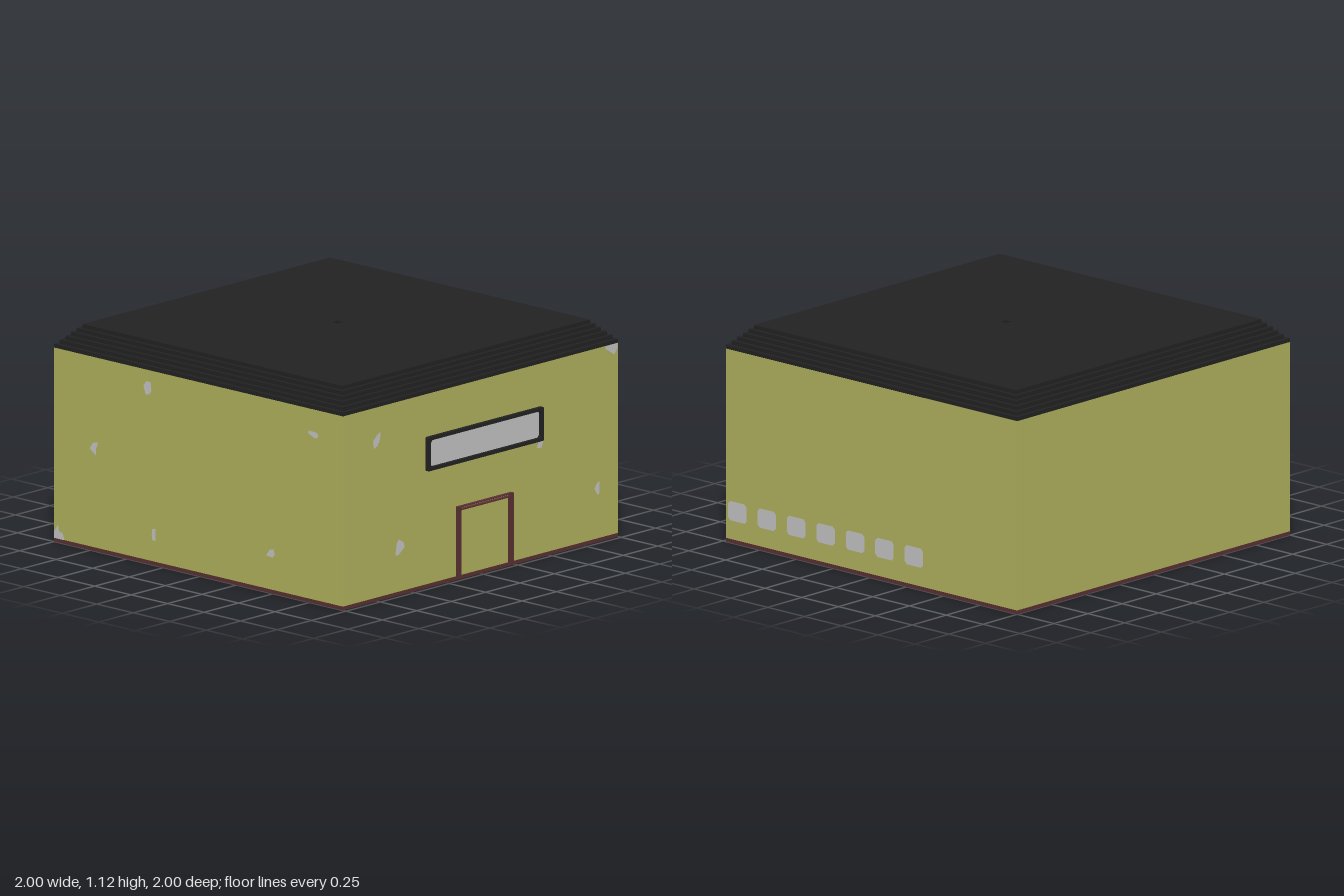
import * as THREE from 'three';

const mat = (name, color) => {
  const m = new THREE.MeshStandardMaterial({ color });
  m.name = name;
  return m;
};

export function createModel() {
  const wallYellow = mat('wallYellow', 0xb2b25e);
  const paleGrey = mat('paleGrey', 0xc4c4c4);
  const roofBlack = mat('roofBlack', 0x222222);
  const maroon = mat('maroon', 0x5a3033);

  const group = new THREE.Group();
  const add = (parent, name, geo, material, x = 0, y = 0, z = 0) => {
    const mesh = new THREE.Mesh(geo, material);
    mesh.name = name;
    mesh.position.set(x, y, z);
    parent.add(mesh);
    return mesh;
  };
  const box = (w, h, d) => new THREE.BoxGeometry(w, h, d);
  const polygon = (pts) => new THREE.Shape(pts.map(([x, y]) => new THREE.Vector2(x, y)));
  // Rectangle with chamfered corners, given by its edges
  const rect = (x0, x1, y0, y1, c = 0) => polygon(c
    ? [[x0 + c, y0], [x1 - c, y0], [x1, y0 + c], [x1, y1 - c], [x1 - c, y1], [x0 + c, y1], [x0, y1 - c], [x0, y0 + c]]
    : [[x0, y0], [x1, y0], [x1, y1], [x0, y1]]);
  const extrude = (shape, depth) => new THREE.ExtrudeGeometry(shape, { depth, bevelEnabled: false });

  // Main block, shifted slightly so the door trim completes the width
  const CX = -0.01, W = 1.98, D = 2, STEP = 0.02;
  add(group, 'base', box(W, STEP, D), maroon, CX, STEP / 2, 0);
  add(group, 'walls', box(W, 0.98, D), wallYellow, CX, 0.51, 0);

  // Stepped roof
  for (let i = 0; i < 5; i++) {
    add(group, 'roofStep', box(W - 2 * STEP * i, STEP, D - 2 * STEP * i), roofBlack, CX, 1.01 + STEP * i, 0);
  }
  // Top layer with a small square pit in the middle
  const top = rect(-0.9, 0.88, -0.9, 0.9);
  top.holes.push(rect(-0.02, 0.02, -0.02, 0.02));
  add(group, 'roofTop', extrude(top, STEP).rotateX(-Math.PI / 2), roofBlack, 0, 1.1, 0);

  // One group per decorated side: local x runs along the wall, local z outwards
  const side = (name, x, z, angle) => {
    const g = new THREE.Group();
    g.name = name;
    g.position.set(x, 0, z);
    g.rotation.y = angle;
    group.add(g);
    return g;
  };
  const front = side('frontSide', 0, 1, 0);
  const right = side('doorSide', 0.98, 0, Math.PI / 2);
  const back = side('backSide', 0, -1, Math.PI);

  // Worn paint patches
  const patch = (parent, x, y, pts) =>
    add(parent, 'wornPatch', new THREE.ShapeGeometry(polygon(pts)), paleGrey, x, y, 0.002);
  patch(front, -0.356, 0.906, [[-0.015, -0.035], [0.01, -0.03], [0.025, -0.01], [0.02, 0.035], [-0.01, 0.035], [-0.03, 0.01]]);
  patch(front, 0.778, 0.872, [[-0.035, 0], [0, -0.015], [0.02, -0.02], [0.035, -0.005], [0.03, 0.012], [-0.03, 0.015]]);
  patch(front, -0.725, 0.53, [[-0.03, -0.005], [0.015, -0.035], [0.015, 0], [0.03, 0.035], [-0.005, 0.03]]);
  patch(front, 0.49, 0.206, [[-0.035, -0.015], [0.01, -0.02], [0.025, 0], [0.015, 0.025], [-0.01, 0.018]]);
  patch(front, -0.316, 0.16, [[-0.013, -0.01], [-0.008, -0.032], [0.013, -0.032], [0.013, 0.032], [-0.01, 0.025]]);
  patch(front, -1, 0.02, [[0, 0], [0.075, 0], [0.06, 0.035], [0.035, 0.04], [0.03, 0.075], [0, 0.03]]);
  patch(right, -0.757, 0.83, [[-0.028, 0], [-0.02, -0.04], [0.005, -0.03], [0.025, 0], [0.028, 0.04], [0.005, 0.03]]);
  patch(right, 0.95, 1, [[-0.045, -0.015], [0.02, -0.055], [0.04, -0.03], [0.045, 0], [-0.045, 0]]);
  patch(right, 0.43, 0.6, [[-0.025, -0.03], [0.01, -0.035], [0.025, 0], [0.015, 0.04], [-0.01, 0.04], [-0.01, 0]]);
  patch(right, -0.587, 0.25, [[-0.035, -0.04], [-0.01, -0.04], [0.035, -0.005], [0.025, 0.02], [-0.01, 0.04], [-0.025, 0.02]]);
  patch(right, 0.842, 0.28, [[-0.018, 0], [0.005, -0.035], [0.018, -0.03], [0.018, 0.035], [0, 0.025]]);

  // Row of small windows along the back
  for (let i = 0; i < 7; i++) {
    const pane = rect(-0.063, 0.063, -0.05, 0.05, 0.015);
    add(back, 'smallWindow', new THREE.ShapeGeometry(pane), paleGrey, -0.9 + 0.2 * i, 0.167, 0.002);
  }

  // Wide framed window above the door
  const frame = rect(-0.4, 0.438, 0.605, 0.78, 0.004);
  frame.holes.push(rect(-0.382, 0.42, 0.623, 0.762, 0.012));
  add(right, 'windowFrame', extrude(frame, STEP), roofBlack);
  add(right, 'windowGlass', new THREE.ShapeGeometry(rect(-0.39, 0.428, 0.615, 0.77)), paleGrey, 0, 0, 0.003);

  // Door surround: two thin nested trims with the wall showing between them
  const trim = (x0, x1, y1, t) => extrude(polygon([
    [x0, 0.02], [x0 + t, 0.02], [x0 + t, y1 - t], [x1 - t, y1 - t],
    [x1 - t, 0.02], [x1, 0.02], [x1, y1], [x0, y1]]), STEP);
  add(right, 'doorTrimOuter', trim(-0.18, 0.22, 0.38, 0.005), maroon);
  add(right, 'doorTrimInner', trim(-0.166, 0.206, 0.366, 0.006), maroon);
  for (const x of [-0.17, 0.21]) {
    for (const y of [0.03, 0.37]) add(right, 'doorTrimCorner', box(STEP, STEP, STEP), maroon, x, y, 0.01);
  }
  return group;
}
